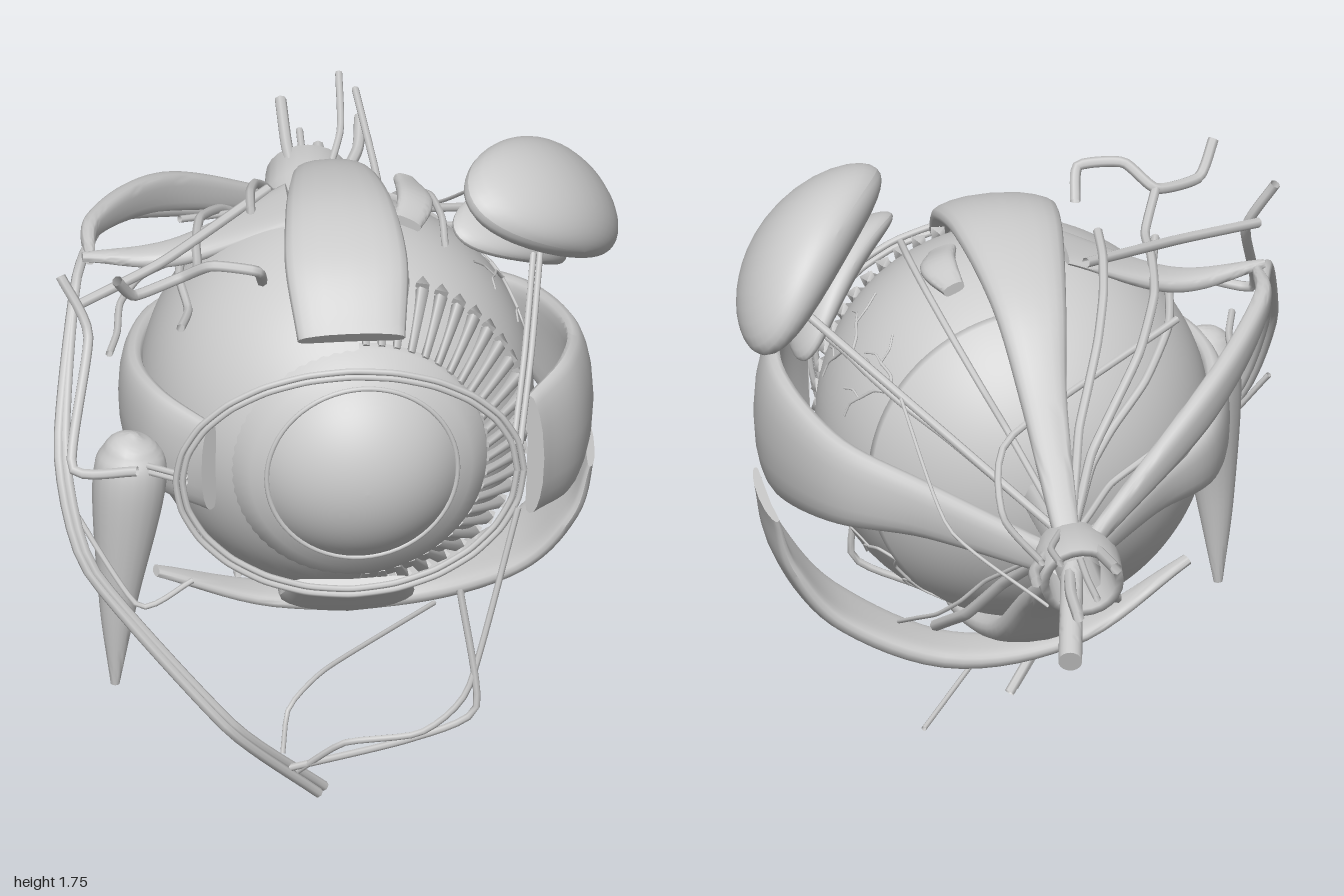
import * as THREE from 'three';
import { toCreasedNormals } from 'three/addons/utils/BufferGeometryUtils.js';

const EYE = new THREE.Vector3(0.03, 1.02, 0.37);
const R = 0.54;
const V = (a) => new THREE.Vector3(a[0], a[1], a[2]);

export function createModel() {
  const model = new THREE.Group();
  const mat = new THREE.MeshStandardMaterial({ color: 0xcccccc, side: THREE.DoubleSide });

  const add = (name, geo, parent = model) => {
    const mesh = new THREE.Mesh(geo, mat);
    mesh.name = name;
    parent.add(mesh);
    return mesh;
  };

  // Strap or sac: stations are [x, y, z, halfWidth, halfThickness]; bow curls it round the globe
  const loft = (name, stations, widthDir, bow = 0.7, power = 0.7) => {
    const path = new THREE.CatmullRomCurve3(stations.map(V), false, 'catmullrom', 0.5);
    const sizes = new THREE.CatmullRomCurve3(stations.map((s) => new THREE.Vector3(s[3], s[4], 0)));
    const rows = 36, cols = 20, pos = [], index = [];
    let sign = 0;
    for (let i = 0; i <= rows; i++) {
      const p = path.getPoint(i / rows), t = path.getTangent(i / rows), s = sizes.getPoint(i / rows);
      const w = V(widthDir).addScaledVector(t, -V(widthDir).dot(t)).normalize();
      const n = new THREE.Vector3().crossVectors(t, w);
      if (!sign) sign = n.dot(p.clone().sub(EYE)) < 0 ? -1 : 1;
      for (let j = 0; j < cols; j++) {
        const a = (j / cols) * Math.PI * 2, c = Math.cos(a), d = Math.sin(a);
        const u = Math.sign(c) * Math.abs(c) ** power * s.x;
        const v = Math.sign(d) * Math.abs(d) ** power * s.y - (bow * u * u) / (2 * R);
        pos.push(...p.clone().addScaledVector(w, sign * u).addScaledVector(n, sign * v).toArray());
        const k = i * cols + j, k2 = i * cols + ((j + 1) % cols);
        if (i < rows) index.push(k, k2, k + cols, k2, k2 + cols, k + cols);
      }
    }
    // End caps
    for (let j = 1; j < cols - 1; j++) {
      const e = rows * cols;
      index.push(0, j + 1, j, e, e + j, e + j + 1);
    }
    const geo = new THREE.BufferGeometry();
    geo.setAttribute('position', new THREE.Float32BufferAttribute(pos, 3));
    geo.setIndex(index);
    return add(name, toCreasedNormals(geo, 0.9));
  };

  const tube = (name, r, pts, parent) => add(name, new THREE.TubeGeometry(
    new THREE.CatmullRomCurve3(pts.map((p) => (p.isVector3 ? p : V(p))), false, 'catmullrom', 0.3),
    pts.length * 6, r, 7), parent);

  // Globe, built round its own z axis
  const globe = new THREE.Group();
  globe.name = 'globe';
  globe.position.copy(EYE);
  globe.rotation.y = 0.05;
  model.add(globe);
  const turn = (name, pts, from = 0, len = Math.PI * 2) => add(name, new THREE.LatheGeometry(
    pts.map((p) => new THREE.Vector2(p[0], p[1])), 64, from, len).rotateX(Math.PI / 2), globe);
  const arc = (r, a0, a1, n = 32) => Array.from({ length: n + 1 }, (_, i) => {
    const a = a0 + ((a1 - a0) * i) / n;
    return [Math.max(r * Math.sin(a), 0), -r * Math.cos(a)];
  });
  turn('scleraHalf', arc(R, 0, 2.5), Math.PI, Math.PI);
  turn('scleraBackRim', [...arc(R, 0, 1), ...arc(R - 0.025, 1, 0.9, 2)], 0, Math.PI);
  turn('choroid', arc(R - 0.02, 0, 2.5));
  turn('limbusBand', [[0.35, 0.37], [0.345, 0.415], [0.3, 0.455], [0.255, 0.48]]);
  turn('cornea', arc(0.325, Math.PI - 0.917, Math.PI, 16).map(([r, z]) => [r, z + 0.276]));
  add('corneaRim', new THREE.TorusGeometry(0.258, 0.007, 8, 64), globe).position.z = 0.478;

  // Ciliary ribs on the uncovered half
  const up = new THREE.Vector3(0, 1, 0);
  for (let i = 0; i < 26; i++) {
    const spoke = new THREE.Group();
    spoke.name = 'ciliaryRib';
    spoke.rotation.z = -Math.PI / 2 + ((i + 0.5) / 26) * Math.PI;
    globe.add(spoke);
    const rib = add('rib', new THREE.CylinderGeometry(0.012, 0.02, 0.19, 4), spoke);
    rib.position.set(0.405, 0, 0.325);
    rib.quaternion.setFromUnitVectors(up, new THREE.Vector3(-0.62, 0, 0.78).normalize());
    const tip = add('ribTip', new THREE.ConeGeometry(0.026, 0.04, 4), spoke);
    tip.position.set(0.475, 0, 0.225);
    tip.quaternion.setFromUnitVectors(up, new THREE.Vector3(0.45, 0, -0.9).normalize());
  }

  // Fine vessels forking across the uncovered half
  const fork = (z, y, angle, len, depth) => {
    const at = (f, a) => {
      const pz = z + Math.cos(a) * len * f, py = y + Math.sin(a) * len * f;
      return new THREE.Vector3(Math.sqrt(Math.max(0.525 ** 2 - pz * pz - py * py, 0)), py, pz);
    };
    const end = at(1, angle);
    tube('choroidVessel', 0.003 + depth * 0.0015, [at(0, angle), at(0.5, angle + 0.3), end], globe);
    if (depth) for (const s of [-0.6, 0.5]) fork(end.z, end.y, angle + s, len * 0.75, depth - 1);
  };
  fork(-0.4, 0.22, 0.1, 0.13, 2);
  fork(-0.2, 0.25, 0.1, 0.13, 2);
  fork(-0.38, -0.2, -0.5, 0.13, 2);

  // Four straight muscles share one profile: [z, distance from axis, halfWidth, halfThickness]
  const strap = [[0.79, 0.385, 0.145, 0.025], [0.61, 0.52, 0.165, 0.03], [0.36, 0.562, 0.145, 0.033],
    [0.05, 0.48, 0.1, 0.035], [-0.18, 0.29, 0.062, 0.033], [-0.52, 0.06, 0.035, 0.025]];
  for (const [name, dx, dy, wide, flare] of [['upperStraightMuscle', 0, 1, 1, 0],
    ['lowerStraightMuscle', 0, -1, 1.1, 0], ['outerStraightMuscle', 1, 0, 1.25, 0.11],
    ['innerStraightMuscle', -1, 0, 0.9, 0]]) {
    loft(name, strap.map(([z, d, w, t]) => {
      const out = d + flare * (z + 0.52) / 1.3;
      return [EYE.x + dx * out, EYE.y + dy * out, z, w * wide, t];
    }), [Math.abs(dy), Math.abs(dx), 0]);
  }

  // Slanted muscles
  loft('lowerSlantedMuscle', [[0.7, 0.84, 0.37, 0.175, 0.012], [0.65, 0.68, 0.37, 0.17, 0.025],
    [0.5, 0.5, 0.35, 0.14, 0.03], [0.2, 0.37, 0.31, 0.09, 0.03], [-0.15, 0.38, 0.35, 0.06, 0.02],
    [-0.47, 0.52, 0.45, 0.02, 0.012]], [0, 0, 1], 0.4);
  loft('upperSlantedTendon', [[-0.1, 1.55, 0.3, 0.11, 0.012], [-0.4, 1.42, 0.31, 0.055, 0.025],
    [-0.66, 1.43, 0.34, 0.012, 0.012]], [0, 0, 1], 0.3);
  loft('upperSlantedMuscle', [[-0.64, 1.42, 0.34, 0.014, 0.012], [-0.61, 1.41, 0.12, 0.035, 0.025],
    [-0.4, 1.3, -0.23, 0.055, 0.03], [-0.04, 1.08, -0.55, 0.025, 0.02]], [0, 1, 0], 0.2);
  loft('globeSideStrap', [[0.21, 1.52, 0.38, 0.04, 0.015], [0.24, 1.53, 0.27, 0.05, 0.02],
    [0.22, 1.52, 0.14, 0.03, 0.015]], [1, -0.4, 0]);

  // Tendon ring, optic nerve and the cut nerve ends behind the globe
  const ring = add('tendonRing', new THREE.LatheGeometry([[0.095, -0.13], [0.12, 0], [0.112, 0.13],
    [0.09, 0.13], [0.085, -0.13], [0.095, -0.13]].map((p) => new THREE.Vector2(p[0], p[1])), 24)
    .rotateX(-Math.PI / 2));
  ring.scale.y = 0.85;
  ring.rotation.set(0.08, -0.06, 0);
  ring.position.set(0.02, 1.035, -0.62);
  tube('opticNerve', 0.06, [[0.03, 1.02, -0.14], [0.02, 1.03, -0.4], [0.02, 1.03, -0.68]]);
  loft('nerveStub', [[0.03, 1.03, -0.6, 0.03, 0.03], [0.1, 0.92, -0.97, 0.032, 0.032]], [1, 0, 0], 0, 1);
  [[-0.03, 1.17, -0.94], [0.02, 1.08, -0.93], [0.07, 1.03, -0.93], [0.13, 1.22, -0.985], [0.18, 1.13, -0.9]]
    .forEach(([x, y, z], i) => tube('nerveEnd', i % 2 ? 0.01 : 0.016,
      [[x * 0.4, 1.03 + (y - 1.03) * 0.4, -0.55], [x * 0.9, 1.03 + (y - 1.03) * 0.7, -0.77], [x, y, z]]));

  // Tear gland: two bean lobes bent round the globe
  const axisL = new THREE.Vector3(0.56, -0.47, -0.68).normalize();
  const axisW = new THREE.Vector3().crossVectors(axisL, new THREE.Vector3(0.7, 0.7, 0.1)).normalize();
  const axisN = new THREE.Vector3().crossVectors(axisW, axisL).negate();
  axisW.negate();
  axisN.negate();
  const lobe = (name, a, b, c, x, y, z) => {
    const geo = new THREE.SphereGeometry(1, 36, 24), p = geo.attributes.position;
    for (let i = 0; i < p.count; i++) {
      const l = p.getX(i);
      p.setXYZ(i, l * a, p.getY(i) * b, p.getZ(i) * c - 0.06 * l * l + 0.02);
    }
    geo.applyMatrix4(new THREE.Matrix4().makeBasis(axisL, axisW, axisN).setPosition(x, y, z));
    geo.computeVertexNormals();
    add(name, geo);
  };
  lobe('tearGland', 0.325, 0.185, 0.11, 0.585, 1.56, 0.36);
  lobe('tearGlandInnerLobe', 0.26, 0.12, 0.055, 0.505, 1.475, 0.36);

  // Tear sac
  loft('tearSac', [[-0.55, 1.085, 0.7, 0.01, 0.01], [-0.555, 1.05, 0.7, 0.07, 0.07], [-0.56, 0.95, 0.7, 0.1, 0.1],
    [-0.59, 0.6, 0.71, 0.055, 0.05], [-0.6, 0.325, 0.71, 0.012, 0.012]], [1, 0, 0], 0, 1);

  for (const k of [0, 0.018]) {
    // Duct loop round the cornea
    tube('ductLoop', 0.009, Array.from({ length: 25 }, (_, i) => {
      const a = (i / 12) * Math.PI;
      return [0.02 + (0.45 + k) * Math.cos(a), 1.02 + (0.325 + k) * Math.sin(a), 0.9 - 0.04 * Math.cos(a) ** 2];
    }));
    tube('sacDuct', 0.009, [[-0.55, 1 + k, 0.74], [-0.42, 1.02 + k, 0.86]]);
    tube('glandDuct', 0.009, [[0.46 + k, 1.1, 0.86], [0.5 + k, 1.3, 0.72], [0.54 + k, 1.48, 0.5]]);
    // Long vessel sweeping round the nose side to the cheek
    tube('noseVessel', 0.014, [[-0.03, 1.08, -0.52], [-0.33, 1.2, -0.3], [-0.57, 1.37, 0.03], [-0.68, 1.4, 0.4],
      [-0.755 + k, 1.07, 0.75], [-0.69 + k, 0.78, 0.89], [-0.32 + k, 0.32, 0.97 - k], [-0.06 + k, 0.015, 0.8 - 2 * k]]);
  }

  // Vessels running from the tendon ring over the globe: [radius, lift, end x, y, z]
  const over = (r, lift, ...end) => tube('globeVessel', r, Array.from({ length: 9 }, (_, i) => {
    const d = new THREE.Vector3(0.02, 1.06, -0.52).lerp(V(end), i / 8).sub(EYE);
    return d.setLength(Math.max(d.length(), R + lift)).add(EYE);
  }));
  [[0.013, 0.05, -0.42, 1.53, 0.65], [0.013, 0.05, -0.2, 1.54, 0.35], [0.012, 0.02, -0.42, 1.38, 0.66],
    [0.01, 0.09, -0.6, 1.22, 0.5], [0.012, 0.1, 0.62, 1.46, 0.2], [0.01, 0.06, 0.58, 1.38, 0.28],
    [0.01, 0.03, 0.3, 1.5, 0.48], [0.016, 0.03, 0.26, 0.5, 0.2], [0.012, 0.03, -0.25, 0.5, 0.45],
    [0.006, 0.06, 0.36, 0.52, 0.2]].forEach((v) => over(...v));

  // Free vessels of the nose side, brow and cheek
  tube('cheekVessel', 0.01, [[-0.14, 0.13, 0.86], [0.17, 0.26, 0.96], [0.35, 0.36, 0.98], [0.31, 0.7, 0.94]]);
  tube('cheekVessel', 0.009, [[-0.12, 0.12, 0.86], [0, 0.24, 0.93], [0.2, 0.29, 0.98], [0.33, 0.42, 0.975],
    [0.47, 0.92, 0.89]]);
  tube('cheekTwig', 0.007, [[-0.16, 0.17, 0.85], [-0.14, 0.28, 0.8], [-0.03, 0.31, 0.65], [0.3, 0.22, 0.15]]);
  tube('noseTwig', 0.014, [[-0.74, 1.53, 0.62], [-0.67, 1.38, 0.68], [-0.73, 1.1, 0.9], [-0.56, 1.12, 0.97]]);
  tube('noseTwig', 0.008, [[-0.74, 0.92, 0.72], [-0.55, 0.64, 0.85], [-0.4, 0.7, 0.83]]);
  tube('browVessel', 0.015, [[-0.6, 1.6, 0.78], [-0.55, 1.52, 0.72], [-0.42, 1.53, 0.65], [-0.34, 1.59, 0.7],
    [-0.22, 1.58, 0.72], [-0.2, 1.51, 0.65]]);
  tube('browVessel', 0.014, [[-0.69, 1.43, 0.6], [-0.45, 1.47, 0.45], [-0.15, 1.54, 0.2]]);
  tube('topNerve', 0.01, [[0.17, 1.2, -0.93], [0.2, 1.14, -0.5], [0.14, 1.25, -0.25], [-0.38, 1.4, 0.1]]);
  tube('sideTwig', 0.005, [[0.12, 0.98, -0.74], [0.34, 1.1, -0.47], [0.41, 1.33, -0.12]]);

  return model;
}
